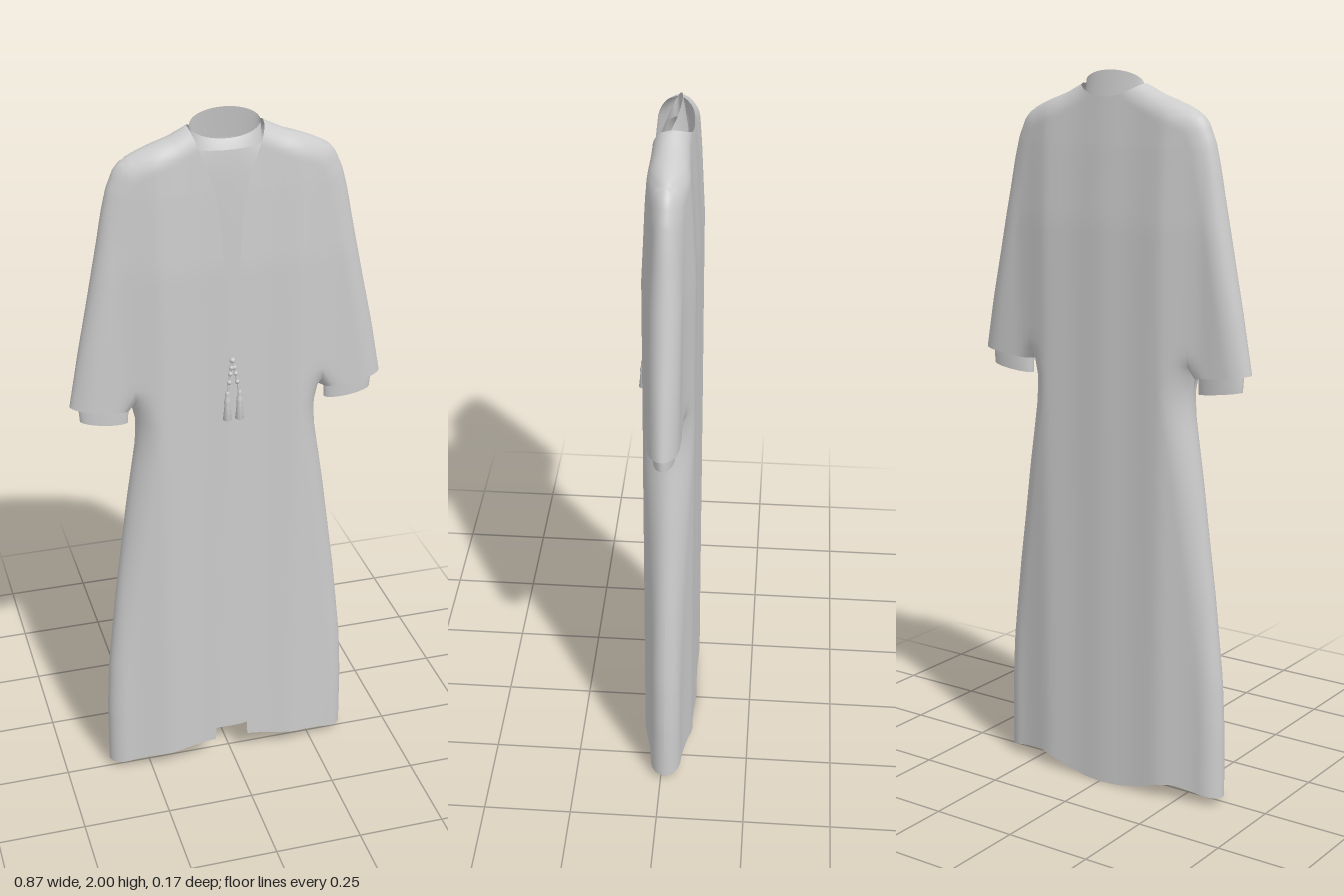
import * as THREE from 'three';
import { mergeGeometries, mergeVertices } from 'three/addons/utils/BufferGeometryUtils.js';

const clamp = THREE.MathUtils.clamp, lerp = THREE.MathUtils.lerp;

// Reads a value from a short list of [position, value] points.
function at(points, t) {
  if (t <= points[0][0]) return points[0][1];
  for (let i = 1; i < points.length; i++) {
    const [a, va] = points[i - 1], [b, vb] = points[i];
    if (t <= b) return lerp(va, vb, (t - a) / (b - a));
  }
  return points[points.length - 1][1];
}

// Grid surface from a point function of row and column.
function grid(rows, cols, point, flip) {
  const pos = [], idx = [], w = cols + 1;
  for (let i = 0; i <= rows; i++) for (let j = 0; j <= cols; j++) pos.push(...point(i, j));
  for (let i = 0; i < rows; i++) for (let j = 0; j < cols; j++) {
    const a = i * w + j, b = a + 1, c = a + w, d = c + 1;
    if (flip) idx.push(a, c, b, b, c, d);
    else idx.push(a, b, c, b, d, c);
  }
  const g = new THREE.BufferGeometry();
  g.setAttribute('position', new THREE.Float32BufferAttribute(pos, 3));
  g.setIndex(idx);
  return g;
}

function smooth(parts) {
  const g = mergeVertices(mergeGeometries(parts), 1e-5);
  g.computeVertexNormals();
  return g;
}

// Outlines of one half, as [y, x]
const NECK = 1.965, SHOULDER = 1.897, ARMPIT = 1.2, ARM_X = 0.262;
const side = [[0, 0.363], [0.2, 0.361], [0.35, 0.353], [0.6, 0.326], [0.9, 0.285],
  [1.08, 0.256], [1.15, 0.251], [ARMPIT, ARM_X]];
const arm = [[ARMPIT, 0.437], [1.36, 0.409], [1.5, 0.381], [1.68, 0.344], [1.76, 0.329], [1.82, 0.314],
  [1.865, 0.295], [1.885, 0.28], [SHOULDER, ARM_X], [1.912, 0.23], [1.925, 0.195], [1.94, 0.15], [NECK, 0.1]];
const opening = [[0, 0.049], [0.7, 0.03], [1.2, 0.01], [1.33, 0], [1.6, 0.021], [1.7, 0.028],
  [1.78, 0.036], [1.84, 0.053], [1.9, 0.075], [NECK, 0.1]];
// Hems, as [x, y]
const frontHem = [[0.05, 0.075], [0.2, 0.05], [0.28, 0.035], [0.363, 0.02]];
const backHem = [[0, 0], [0.06, 0.002], [0.12, 0.014], [0.18, 0.036], [0.23, 0.045], [0.363, 0.02]];

function distance(line, x, y) {
  let best = 9;
  for (let i = 1; i < line.length; i++) {
    const [ay, ax] = line[i - 1], [by, bx] = line[i];
    const dx = bx - ax, dy = by - ay;
    const t = clamp(((x - ax) * dx + (y - ay) * dy) / (dx * dx + dy * dy), 0, 1);
    best = Math.min(best, Math.hypot(x - ax - dx * t, y - ay - dy * t));
  }
  return best;
}

// Half thickness of the robe: flat in the middle, rounded towards the outline
function depth(x, y) {
  const full = at([[0, 0.07], [1.6, 0.068], [1.8, 0.058], [NECK, 0.046]], y)
    * at([[0, 1], [0.19, 0.98], [0.3, 0.66], [0.43, 0.5]], x) + 0.002 * Math.cos(x * 34);
  const d = Math.min(distance(side, x, y), distance(arm, x, y));
  const t = 1 - Math.min(d / 0.055, 1);
  return full * Math.sqrt(1 - t * t);
}

const rowYs = [];
for (const [a, b, n] of [[0, ARMPIT, 30], [ARMPIT, 1.8, 18], [1.8, SHOULDER, 9], [SHOULDER, NECK, 10]])
  for (let i = 0; i < n; i++) rowYs.push(lerp(a, b, i / n));
rowYs.push(NECK);
const armRows = rowYs.filter(y => y >= ARMPIT - 1e-6 && y <= SHOULDER + 1e-6);
const ease = t => Math.sin(t * Math.PI / 2);

// Places a point of the robe on the front (face 1) or back (face -1)
function place(x, y, sx, face) {
  const sleeve = y >= ARMPIT - 1e-6 ? clamp((x - ARM_X) / 0.15, 0, 1) : 0;
  const z = -0.012 + face * depth(x, y);
  const hem = at(face > 0 ? frontHem : backHem, x) * Math.max(0, 1 - y / 0.6);
  return [sx * x - 0.006 * (1 - sleeve), y + hem, z];
}

function robe() {
  const parts = [];
  for (const sx of [1, -1]) for (const face of [1, -1]) {
    const flip = sx * face < 0;
    // Body panel
    parts.push(grid(rowYs.length - 1, 24, (i, j) => {
      let y = rowYs[i];
      const outer = y <= ARMPIT ? at(side, y) : y <= SHOULDER ? ARM_X : at(arm, y);
      const x = lerp(face > 0 ? at(opening, y) : 0, outer, ease(j / 24));
      if (face < 0 && x < 0.1) y = Math.min(y, 1.93 + 0.035 * (x / 0.1) ** 2);
      return place(x, y, sx, face);
    }, flip));
    // Sleeve panel, open at the bottom
    parts.push(grid(armRows.length - 1, 16, (i, j) => {
      const y = armRows[i], t = ease(j / 16);
      const p = place(lerp(ARM_X, at(arm, y), t), y, sx, face);
      p[1] += 0.02 * t * Math.max(0, 1 - (y - ARMPIT) / 0.3);
      return p;
    }, flip));
  }
  return smooth(parts);
}

// Oval rings of [centre x, y, half width, half depth, tilt by x, tilt by z]
function loft(rings, n = 48) {
  return smooth([grid(rings.length - 1, n, (i, j) => {
    const [cx, y, w, d, tx, tz] = rings[i], a = (j % n) / n * Math.PI * 2;
    return [cx + w * Math.cos(a), y + tx * Math.cos(a) - tz * Math.sin(a), -0.012 + d * Math.sin(a)];
  }, true)]);
}

export function createModel() {
  const model = new THREE.Group();
  const cloth = new THREE.MeshStandardMaterial({ color: 0xcccccc, side: THREE.DoubleSide });
  const add = (name, geometry, parent = model) => {
    const mesh = new THREE.Mesh(geometry, cloth);
    mesh.name = name;
    parent.add(mesh);
    return mesh;
  };

  add('robe', robe());

  // Under-dress seen through the front opening, with its hem and collar
  const c = -0.006;
  add('innerDress', loft([[c, 0.11, 0.28, 0.045, 0, 0], [c, 0.6, 0.25, 0.045, 0, 0], [c, 1.2, 0.19, 0.045, 0, 0],
    [c, 1.7, 0.19, 0.042, 0, 0], [c, 1.82, 0.17, 0.04, 0, 0], [c, 1.875, 0.13, 0.037, 0, 0],
    [c, 1.91, 0.1, 0.034, 0, 0.006]]));
  add('collar', loft([[c, 1.91, 0.1, 0.034, 0, 0.006], [c, 1.935, 0.096, 0.028, 0, 0.018],
    [c, 1.965, 0.093, 0.02, 0, 0.035]]));
  add('innerHem', loft([[c, 0.11, 0.281, 0.0465, 0, 0], [c, 0.12, 0.281, 0.0465, 0, 0]]));

  // Inner cuffs hanging below the sleeves
  for (const s of [1, -1]) {
    add(s > 0 ? 'leftCuff' : 'rightCuff', loft([[s * 0.345, 1.164, 0.066, 0.028, s * 0.009, 0],
      [s * 0.346, 1.23, 0.07, 0.03, s * 0.009, 0], [s * 0.335, 1.35, 0.055, 0.026, 0, 0]], 32));
  }

  // Tie knot with two beaded tassels
  const ties = new THREE.Group();
  ties.name = 'ties';
  model.add(ties);
  add('knot', new THREE.SphereGeometry(0.008, 12, 8), ties).position.set(-0.006, 1.335, 0.06);
  const skirt = [[0.001, 0.085], [0.005, 0.083], [0.006, 0.074], [0.0045, 0.07], [0.008, 0.06],
    [0.009, 0.05], [0.0075, 0.046], [0.012, 0], [0.001, 0]].map(p => new THREE.Vector2(...p));
  for (const s of [1, -1]) {
    const tassel = new THREE.Group();
    tassel.name = s > 0 ? 'leftTassel' : 'rightTassel';
    ties.add(tassel);
    const cord = new THREE.CatmullRomCurve3([[-0.006, 1.335, 0.06], [-0.006 + s * 0.007, 1.3, 0.065],
      [-0.006 + s * 0.016, 1.245, 0.07]].map(p => new THREE.Vector3(...p)));
    add('cord', new THREE.TubeGeometry(cord, 12, 0.003, 6), tassel);
    for (const t of [0.3, 0.52, 0.74])
      add('bead', new THREE.SphereGeometry(0.0065, 10, 8), tassel).position.copy(cord.getPoint(t));
    add('fringe', new THREE.LatheGeometry(skirt, 14), tassel).position.set(-0.006 + s * 0.017, 1.165, 0.07);
  }
  return model;
}
